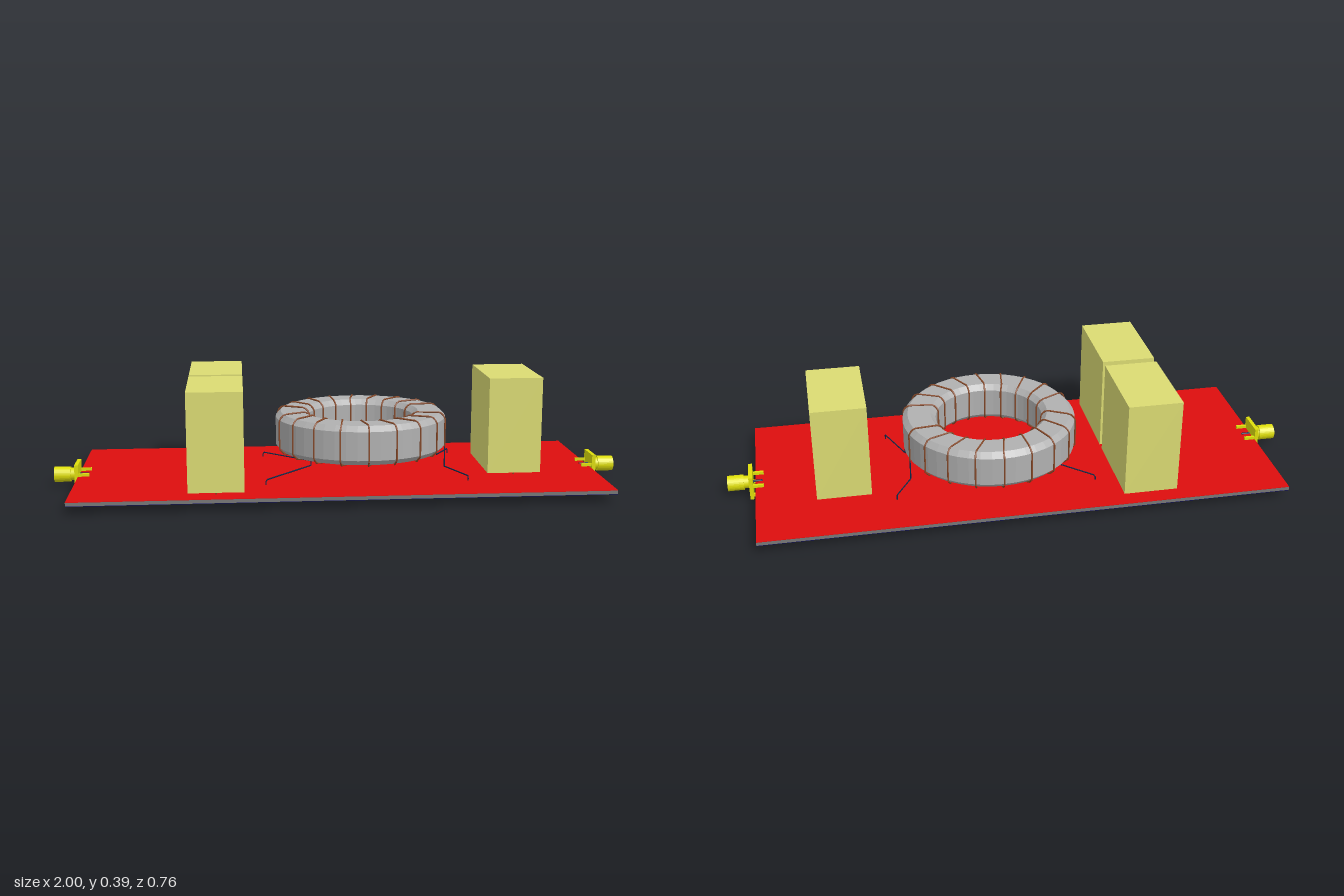
import * as THREE from 'three';

const mat = (color, extra = {}) => new THREE.MeshStandardMaterial({ color, ...extra });

export function createModel() {
  const model = new THREE.Group();
  const red = mat(0xdd0d0d), navy = mat(0x050564), edge = mat(0x777777);
  const film = mat(0xdbdb73), gold = mat(0xdede0a), pinMat = mat(0x8a4b20);
  const copper = mat(0x8a4b2a), leadMat = mat(0x0c2a4c), teal = mat(0x7f9f8a);
  const core = mat(0xb0b0b0, { flatShading: true });

  function add(parent, name, geometry, material, x = 0, y = 0, z = 0) {
    const mesh = new THREE.Mesh(geometry, material);
    mesh.name = name;
    mesh.position.set(x, y, z);
    parent.add(mesh);
    return mesh;
  }
  // Box given by its limits on each axis
  function box(parent, name, material, [x0, x1], [y0, y1], [z0, z1]) {
    return add(parent, name, new THREE.BoxGeometry(x1 - x0, y1 - y0, z1 - z0), material,
      (x0 + x1) / 2, (y0 + y1) / 2, (z0 + z1) / 2);
  }
  // Wire with sharp bends
  function wire(parent, name, points, radius, material) {
    const path = new THREE.CurvePath();
    for (let i = 1; i < points.length; i++) path.add(new THREE.LineCurve3(points[i - 1], points[i]));
    const segments = Math.max(24, (points.length - 1) * 5);
    return add(parent, name, new THREE.TubeGeometry(path, segments, radius, 6), material);
  }

  // Circuit board: red top, grey core, navy underside
  const board = new THREE.Group();
  board.name = 'board';
  model.add(board);
  const bx = [-0.915, 0.905], bz = [-0.38, 0.38];
  box(board, 'boardTop', red, bx, [0.0415, 0.043], bz);
  box(board, 'boardCore', edge, bx, [0.0295, 0.0415], bz);
  box(board, 'boardUnderside', navy, bx, [0.028, 0.0295], bz);

  // Box capacitors, each on two pins
  for (const [x0, x1, z0, z1] of [
    [-0.525, -0.338, -0.33, -0.017], [-0.525, -0.338, 0.012, 0.327], [0.512, 0.699, -0.172, 0.142],
  ]) {
    const cap = new THREE.Group();
    cap.name = 'capacitor';
    box(cap, 'capacitorBody', film, [x0, x1], [0.05, 0.386], [z0, z1]);
    for (const z of [z0 + 0.007, z1 - 0.007])
      add(cap, 'capacitorPin', new THREE.CylinderGeometry(0.002, 0.002, 0.01, 8), pinMat, (x0 + x1) / 2, 0.046, z);
    model.add(cap);
  }

  // Toroidal inductor core with bevelled edges
  const inductor = new THREE.Group();
  inductor.name = 'inductor';
  inductor.position.set(0.08, 0, -0.023);
  model.add(inductor);
  const ri = 0.186, ro = 0.302, y0 = 0.117, y1 = 0.252, b = 0.018;
  const profile = [[ri + b, y0], [ro - b, y0], [ro, y0 + b], [ro, y1 - b], [ro - b, y1], [ri + b, y1],
    [ri, y1 - b], [ri, y0 + b], [ri + b, y0]].map(([r, y]) => new THREE.Vector2(r, y));
  add(inductor, 'toroidCore', new THREE.LatheGeometry(profile, 48), core);

  // Two mirrored windings of nine turns with leads to the board
  const R = 0.003, turns = 9, step = 18.3, lean = 5;
  const i = ri - R, o = ro + R, lo = y0 - R, hi = y1 + R;
  for (const side of [-1, 1]) {
    const polar = (r, deg, y) => {
      const a = THREE.MathUtils.degToRad(deg);
      return new THREE.Vector3(r * Math.cos(a), y, side * r * Math.sin(a));
    };
    for (let k = 0; k < turns; k++) {
      const a = 17 + k * step, c = a + lean;
      const points = [polar(o, a, lo + b), polar(o, a, hi - b), polar(o - b, a, hi), polar(i + b, c, hi),
        polar(i, c, hi - b), polar(i, c, lo + b)];
      if (k < turns - 1)
        points.push(polar(i + b, c, lo), polar(o - b, a + step, lo), polar(o, a + step, lo + b));
      wire(inductor, 'windingTurn', points, R, copper);
    }
    const y = 0.06, last = 17 + (turns - 1) * step + lean;
    for (const [name, start, endX] of [
      ['outerLead', polar(o, 17, lo + b), 0.35], ['innerLead', polar(i, last, lo + b), -0.345],
    ]) {
      const endZ = side * 0.21 + 0.023;
      wire(inductor, name, [start, new THREE.Vector3(start.x, y, start.z),
        new THREE.Vector3(endX, y, endZ), new THREE.Vector3(endX, 0.04, endZ)], R * 0.8, leadMat);
    }
  }

  // Edge connectors, one at each end
  for (const side of [1, -1]) {
    const c = new THREE.Group();
    c.name = 'coaxConnector';
    if (side < 0) c.rotation.y = Math.PI;
    model.add(c);
    const barrel = (name, material, r, x0, x1) => {
      const m = add(c, name, new THREE.CylinderGeometry(r, r, x1 - x0, 32), material, (x0 + x1) / 2, 0.043, 0);
      m.rotation.z = -Math.PI / 2;
    };
    box(c, 'flange', gold, [0.913, 0.926], [0, 0.085], [-0.05, 0.05]);
    barrel('neck', gold, 0.022, 0.926, 0.944);
    // Hollow barrel with an insulator inside
    const ring = [[0.021, 0], [0.027, 0], [0.027, 0.056], [0.021, 0.056], [0.021, 0]]
      .map(([r, y]) => new THREE.Vector2(r, y));
    const shell = add(c, 'barrel', new THREE.LatheGeometry(ring, 32),
      mat(0xdede0a, { flatShading: true }), 0.944, 0.043, 0);
    shell.rotation.z = -Math.PI / 2;
    barrel('insulator', teal, 0.021, 0.944, 0.999);
    barrel('centrePin', leadMat, 0.004, 0.88, 0.914);
    for (const z of [-0.043, 0.043])
      for (const y of [0.015, 0.049])
        box(c, 'boardProng', gold, [0.876, 0.914], [y - 0.005, y + 0.005], [z - 0.005, z + 0.005]);
  }
  return model;
}
